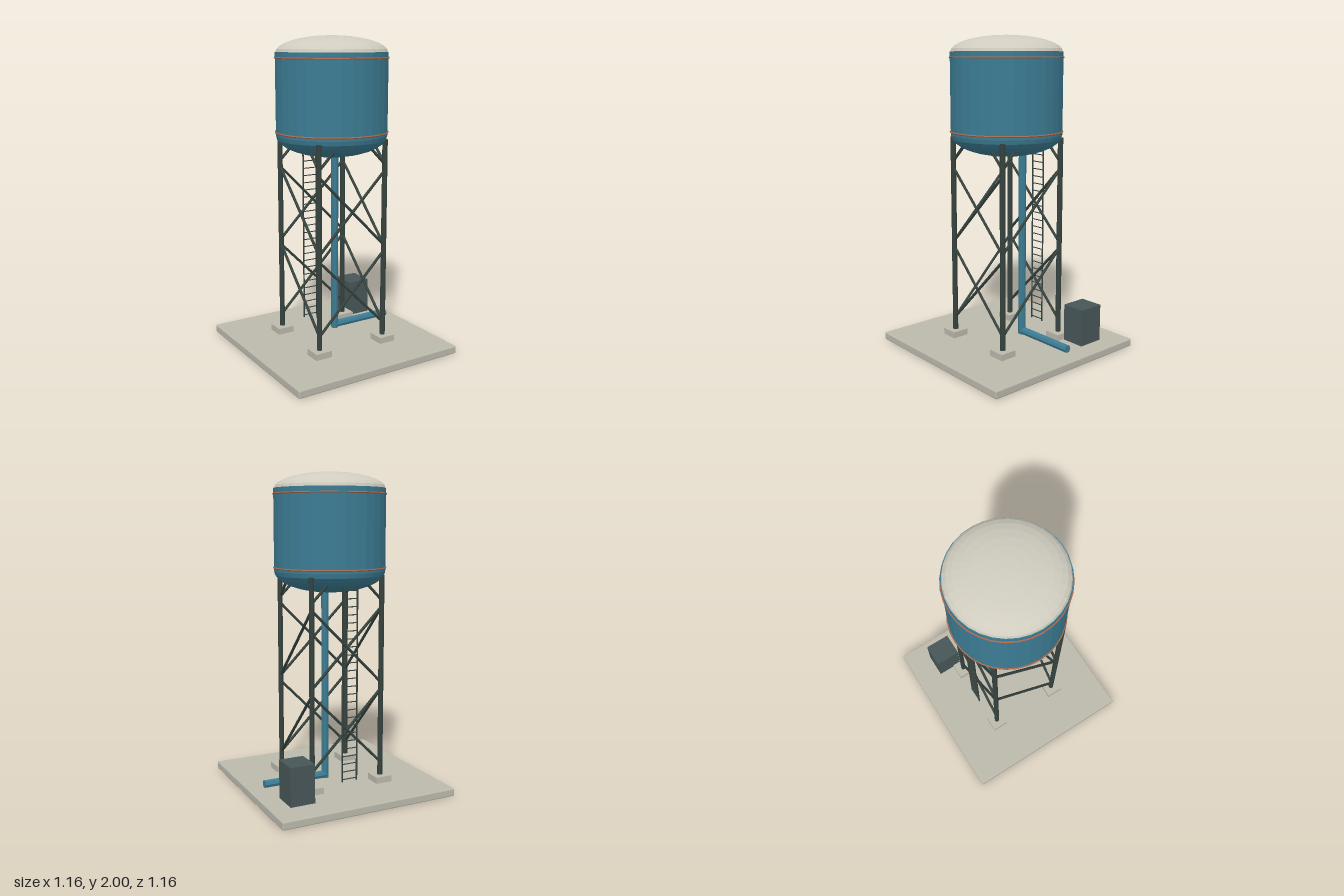
import * as THREE from 'three';
import { RoundedBoxGeometry } from 'three/addons/geometries/RoundedBoxGeometry.js';

export function createModel() {
  const model = new THREE.Group();
  model.name = 'waterTower';
  const paint = (name, color) => {
    const m = new THREE.MeshStandardMaterial({ color, flatShading: true });
    m.name = name;
    return m;
  };
  const blue = paint('tankBlue', 0x3c7c94);
  const cream = paint('roofCream', 0xcfccbf);
  const concrete = paint('concrete', 0xbbb9ac);
  const steel = paint('darkSteel', 0x36433f);
  const slate = paint('cabinetSlate', 0x475657);
  const copper = paint('bandCopper', 0xa8694c);

  const add = (name, geometry, material, x = 0, y = 0, z = 0, parent = model) => {
    const mesh = new THREE.Mesh(geometry, material);
    mesh.name = name;
    mesh.position.set(x, y, z);
    parent.add(mesh);
    return mesh;
  };
  const group = (name) => {
    const g = new THREE.Group();
    g.name = name;
    model.add(g);
    return g;
  };
  // Straight round bar between two points
  const bar = (name, a, b, radius, material, sides, parent = model) => {
    const from = new THREE.Vector3(...a), to = new THREE.Vector3(...b);
    const dir = to.clone().sub(from);
    const mid = from.add(to).multiplyScalar(0.5);
    const geometry = new THREE.CylinderGeometry(radius, radius, dir.length(), sides);
    const mesh = add(name, geometry, material, mid.x, mid.y, mid.z, parent);
    mesh.quaternion.setFromUnitVectors(new THREE.Vector3(0, 1, 0), dir.normalize());
    return mesh;
  };
  // Quarter-ellipse profile, from angle a0 to a1 around height cy
  const arc = (r, h, cy, a0, a1, n) => Array.from({ length: n + 1 }, (_, i) => {
    const a = a0 + (a1 - a0) * i / n;
    return new THREE.Vector2(Math.max(0, r * Math.cos(a)), cy + h * Math.sin(a));
  });

  // Ground slab with softened edges
  add('slab', new RoundedBoxGeometry(1.16, 0.05, 1.16, 1, 0.007), concrete, 0, 0.025, 0);

  // Tank: dished bottom, straight wall, domed roof
  const half = Math.PI / 2;
  const wall = [...arc(0.35, 0.135, 1.39, -half, 0, 8), new THREE.Vector2(0.35, 1.9), new THREE.Vector2(0, 1.9)];
  add('tank', new THREE.LatheGeometry(wall, 32), blue);
  add('roof', new THREE.LatheGeometry(arc(0.346, 0.102, 1.898, 0, half, 8), 32), cream);
  for (const y of [1.41, 1.865]) {
    add('tankBand', new THREE.TorusGeometry(0.351, 0.006, 6, 32), copper, 0, y, 0).rotation.x = half;
  }

  // Legs on footings
  const s = 0.24;
  const legs = group('legs');
  for (const x of [-s, s]) for (const z of [-s, s]) {
    add('footing', new THREE.BoxGeometry(0.11, 0.045, 0.11), concrete, x, 0.0675, z, legs);
    bar('leg', [x, 0.08, z], [x, 1.37, z], 0.017, steel, 8, legs);
  }

  // Crossed braces front and back, single diagonals on the sides
  const braces = group('braces');
  for (const y of [0.175, 0.695, 1.215]) {
    const reach = y > 1 ? 0.5 : 1; // top bay ends inside the tank
    const end = -s + 2 * s * reach, top = y + 0.48 * reach;
    for (const side of [-s, s]) {
      for (const m of [-1, 1]) bar('crossBrace', [-s * m, y, side], [end * m, top, side], 0.009, steel, 6, braces);
      bar('sideBrace', [side, y, s], [side, top, -end], 0.009, steel, 6, braces);
    }
  }

  // Riser and outlet pipe
  bar('riserPipe', [0.07, 0.066, -0.073], [0.07, 1.3, -0.073], 0.024, blue, 8);
  bar('outletPipe', [0.07, 0.088, -0.075], [0.49, 0.088, -0.075], 0.025, blue, 8);

  // Ladder at the back
  const ladder = group('ladder');
  const lz = -0.275;
  for (const x of [-0.05, 0.05]) bar('ladderRail', [x, 0.095, lz], [x, 1.34, lz], 0.005, steel, 6, ladder);
  for (let i = 0; i < 25; i++) {
    const y = 0.11 + i * 0.049;
    bar('ladderRung', [-0.05, y, lz], [0.05, y, lz], 0.0035, steel, 5, ladder);
  }

  // Control cabinet
  add('cabinet', new THREE.BoxGeometry(0.157, 0.24, 0.172), slate, 0.378, 0.17, -0.322);
  return model;
}
